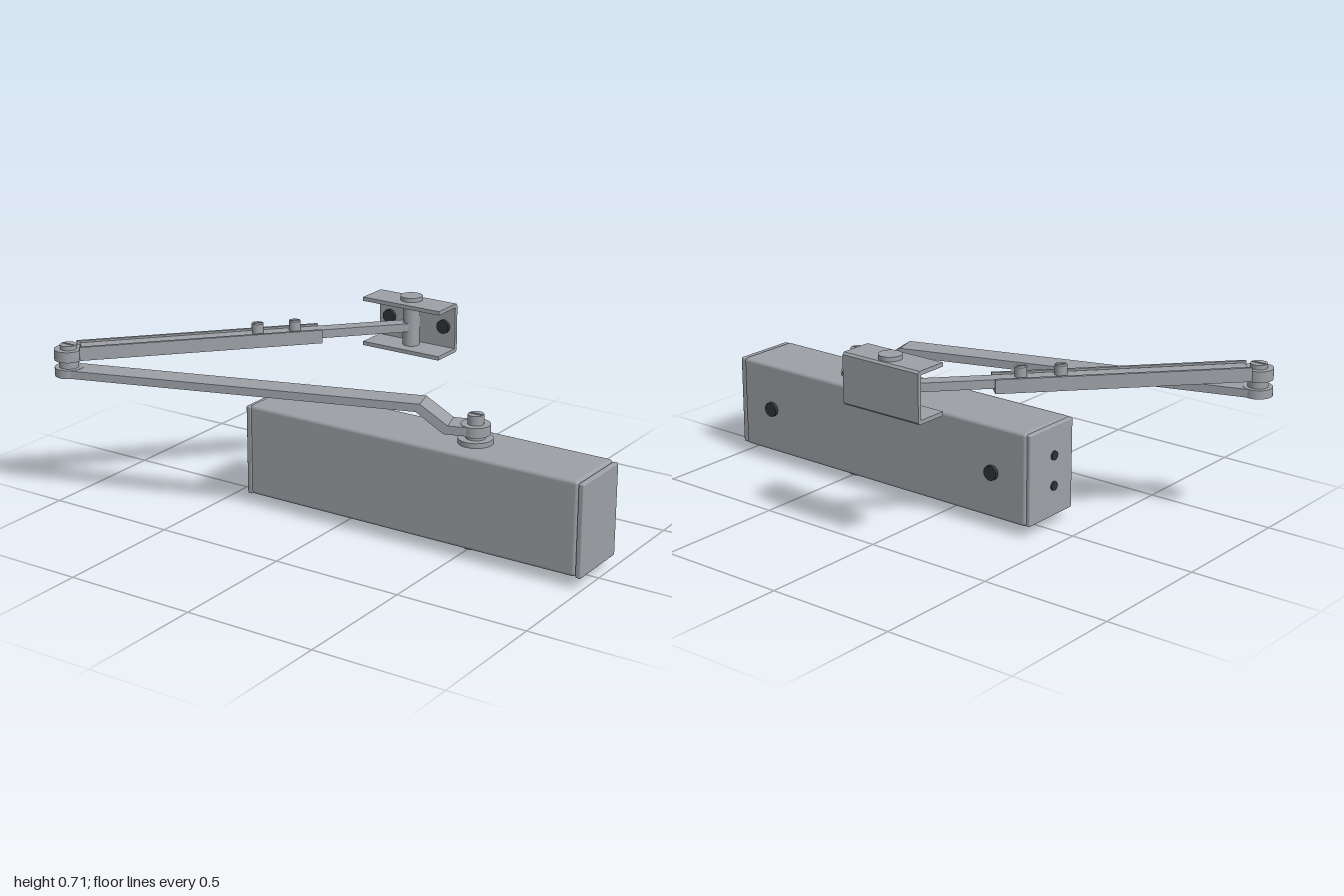
import * as THREE from 'three';
import { RoundedBoxGeometry } from 'three/addons/geometries/RoundedBoxGeometry.js';

const metal = new THREE.MeshStandardMaterial({ color: 0x9da1a6 });
metal.name = 'grey metal';
const dark = new THREE.MeshStandardMaterial({ color: 0x303236 });
dark.name = 'dark screw';

function add(parent, name, geometry, x, y, z, material = metal) {
  const mesh = new THREE.Mesh(geometry, material);
  mesh.name = name;
  mesh.position.set(x, y, z);
  parent.add(mesh);
  return mesh;
}

// Box given by its limits on each axis
function box(parent, name, [x0, x1], [y0, y1], [z0, z1]) {
  return add(parent, name, new THREE.BoxGeometry(x1 - x0, y1 - y0, z1 - z0),
    (x0 + x1) / 2, (y0 + y1) / 2, (z0 + z1) / 2);
}

// Upright cylinder between two heights
function post(parent, name, x, z, r, y0, y1) {
  return add(parent, name, new THREE.CylinderGeometry(r, r, y1 - y0, 32), x, (y0 + y1) / 2, z);
}

// Group whose local +x runs from one plan point (x, z) to another
function alongLine(parent, name, [x0, z0], [x1, z1]) {
  const group = new THREE.Group();
  group.name = name;
  group.position.set(x0, 0, z0);
  group.rotation.y = Math.atan2(z0 - z1, x1 - x0);
  group.userData.length = Math.hypot(x1 - x0, z1 - z0);
  parent.add(group);
  return group;
}

// Outline extruded and centred on its depth
function extrude(points, depth) {
  const shape = new THREE.Shape(points.map(([a, b]) => new THREE.Vector2(a, b)));
  const geometry = new THREE.ExtrudeGeometry(shape, { depth, bevelEnabled: false });
  return geometry.translate(0, 0, -depth / 2);
}

export function createModel() {
  const model = new THREE.Group();
  model.name = 'doorCloser';
  const spindle = [0.5, 0], elbow = [-0.945, 0.47], anchor = [-0.07, -0.475];

  // Housing with end caps
  add(model, 'housing', new RoundedBoxGeometry(1.36, 0.35, 0.256, 2, 0.014), 0.295, 0.217, 0.002);
  for (const [name, x] of [['rightCap', -0.387], ['leftCap', 0.987]]) {
    add(model, name, new RoundedBoxGeometry(0.022, 0.344, 0.25, 2, 0.006), x, 0.215, 0.007);
  }

  // Dark screws on the back and on the right end
  for (const x of [-0.235, 0.83]) {
    const screw = add(model, 'backScrew', new THREE.CylinderGeometry(0.028, 0.028, 0.016, 24), x, 0.215, -0.131, dark);
    screw.rotation.x = Math.PI / 2;
  }
  for (const y of [0.16, 0.275]) {
    const screw = add(model, 'endScrew', new THREE.CylinderGeometry(0.017, 0.017, 0.01, 24), -0.4, y, 0.02, dark);
    screw.rotation.z = Math.PI / 2;
  }

  // Spindle through the housing
  post(model, 'spindleBottom', ...spindle, 0.042, 0, 0.05);
  post(model, 'spindleFlange', ...spindle, 0.063, 0.385, 0.41);
  post(model, 'spindleCollar', ...spindle, 0.036, 0.41, 0.43);
  post(model, 'spindleHub', ...spindle, 0.053, 0.425, 0.462);
  post(model, 'spindlePin', ...spindle, 0.029, 0.46, 0.497);
  box(model, 'spindleSlot', [0.475, 0.525], [0.495, 0.499], [-0.004, 0.004]);

  // Cranked main arm
  const mainArm = alongLine(model, 'mainArm', spindle, elbow);
  const end = mainArm.userData.length;
  add(mainArm, 'armBar', extrude([
    [0.02, 0.428], [0.105, 0.428], [0.205, 0.5], [end, 0.5],
    [end, 0.53], [0.19, 0.53], [0.09, 0.46], [0.02, 0.46],
  ], 0.094), 0, 0, 0);
  post(mainArm, 'armEnd', end, 0, 0.053, 0.499, 0.531);

  // Elbow joint
  post(model, 'elbowSpacer', ...elbow, 0.036, 0.53, 0.562);
  post(model, 'elbowEye', ...elbow, 0.053, 0.56, 0.6);
  post(model, 'elbowPin', ...elbow, 0.031, 0.6, 0.616);
  box(model, 'elbowSlot', [-0.97, -0.92], [0.614, 0.618], [0.466, 0.474]);

  // Forearm: open channel with a sliding rod inside
  const forearm = alongLine(model, 'forearm', elbow, anchor);
  const w = 0.045, t = 0.012;
  const channel = add(forearm, 'channel', extrude([
    [-w, 0.563], [w, 0.563], [w, 0.614], [w - t, 0.614],
    [w - t, 0.577], [t - w, 0.577], [t - w, 0.614], [-w, 0.614],
  ], 0.9), 0.485, 0, 0);
  channel.rotation.y = Math.PI / 2;
  box(forearm, 'rod', [0.045, forearm.userData.length], [0.577, 0.609], [-0.027, 0.027]);
  for (const s of [0.7, 0.84]) {
    post(forearm, 'clampScrew', s, 0, 0.022, 0.6, 0.645);
    box(forearm, 'clampSlot', [s - 0.017, s + 0.017], [0.643, 0.647], [-0.003, 0.003]);
  }

  // Wall bracket, open towards the front
  const bracket = new THREE.Group();
  bracket.name = 'bracket';
  model.add(bracket);
  const plate = add(bracket, 'bracketChannel', extrude([
    [0.4, 0.505], [0.522, 0.505], [0.53, 0.513], [0.53, 0.687], [0.522, 0.695], [0.4, 0.695],
    [0.4, 0.68], [0.515, 0.68], [0.515, 0.52], [0.4, 0.52],
  ], 0.336), -0.07, 0, 0);
  plate.rotation.y = Math.PI / 2;
  post(bracket, 'bracketPost', ...anchor, 0.032, 0.515, 0.685);
  post(bracket, 'bracketPostHead', ...anchor, 0.042, 0.69, 0.711);
  for (const x of [-0.19, 0.05]) {
    const screw = add(bracket, 'bracketScrew', new THREE.CylinderGeometry(0.026, 0.026, 0.014, 24), x, 0.6, -0.509, dark);
    screw.rotation.x = Math.PI / 2;
  }
  return model;
}
